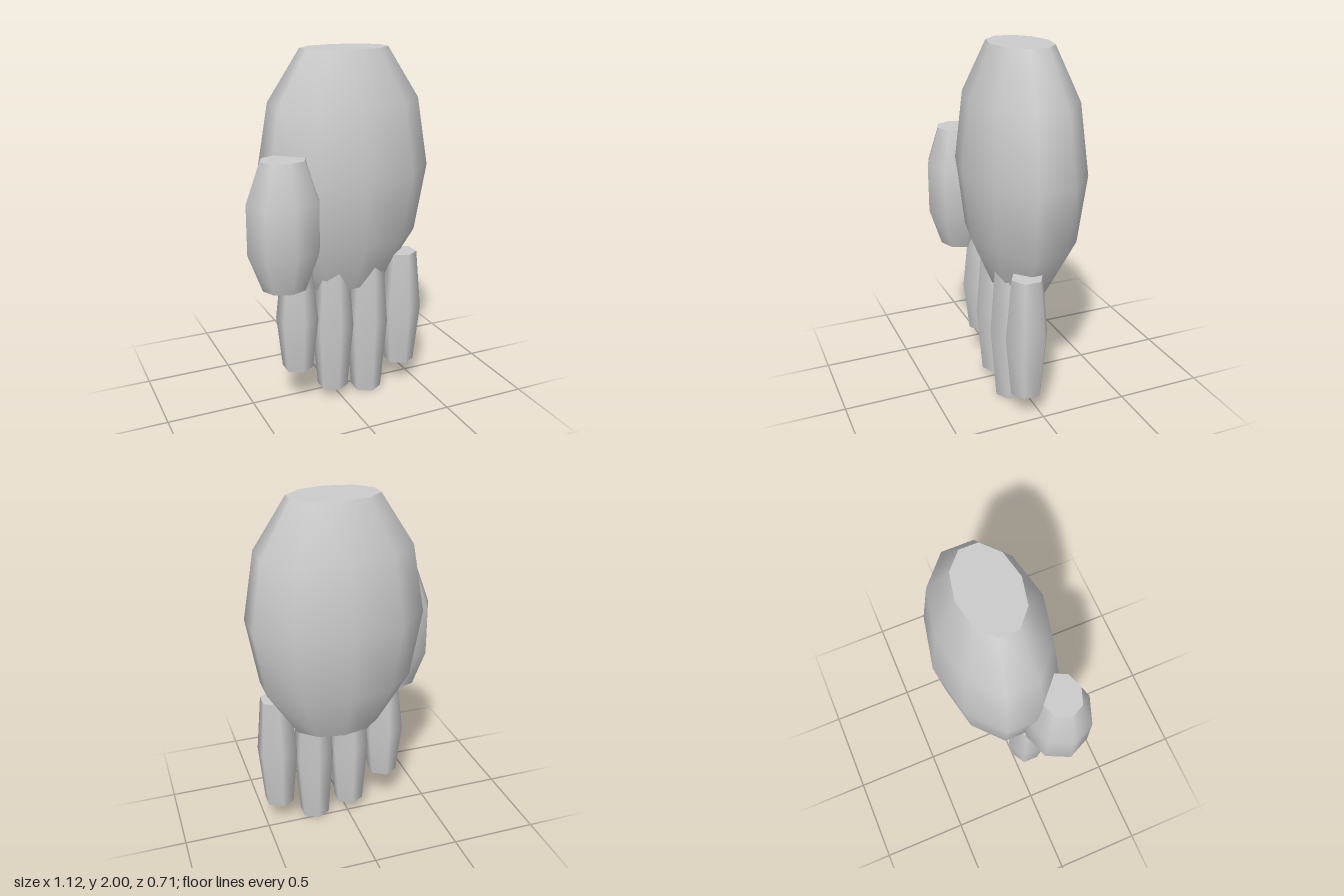
import * as THREE from 'three';

const grey = new THREE.MeshStandardMaterial({ color: 0xcccccc });
grey.name = 'light grey';

// Smooth-sided barrel with flat ends. rings: [radius factor, y] from bottom to top.
function barrel(name, sides, rings, x, z, rx, rz) {
  const group = new THREE.Group();
  group.name = name;
  const profile = rings.map(([r, y]) => new THREE.Vector2(r, y));
  const side = new THREE.Mesh(new THREE.LatheGeometry(profile, sides), grey);
  side.name = name + 'Side';
  group.add(side);

  for (const [end, [r, y], turn] of [
    ['Bottom', rings[0], Math.PI / 2],
    ['Top', rings[rings.length - 1], -Math.PI / 2],
  ]) {
    const disc = new THREE.CircleGeometry(r, sides, Math.PI / 2);
    disc.rotateX(turn).translate(0, y, 0);
    const cap = new THREE.Mesh(disc, grey);
    cap.name = name + end;
    group.add(cap);
  }
  group.scale.set(rx, 1, rz);
  group.position.set(x, 0, z);
  return group;
}

export function createModel() {
  const hand = new THREE.Group();
  hand.name = 'hand';

  // Palm: flattened ellipsoid cut flat at wrist and knuckles
  const palmRings = [150, 120, 90, 60, 30].map((deg) => {
    const a = THREE.MathUtils.degToRad(deg);
    return [Math.sin(a), 1.335 + 0.768 * Math.cos(a)];
  });
  hand.add(barrel('palm', 10, palmRings, 0.083, -0.028, 0.5, 0.327));

  // Thumb
  const thumbRings = [[0.61, 0.766], [1, 0.98], [1, 1.255], [0.61, 1.473]];
  hand.add(barrel('thumb', 8, thumbRings, -0.355, 0.175, 0.206, 0.179));

  // Fingers: x, bottom, top
  const fingers = [
    ['indexFinger', -0.246, 0.22, 0.82],
    ['middleFinger', -0.027, 0.055, 0.835],
    ['ringFinger', 0.192, 0, 0.86],
    ['littleFinger', 0.412, 0.136, 0.83],
  ];
  for (const [name, x, low, high] of fingers) {
    const rings = [[0.73, low], [1, (low + high) / 2], [0.73, high]];
    hand.add(barrel(name, 6, rings, x, 0.068, 0.12, 0.123));
  }
  return hand;
}
